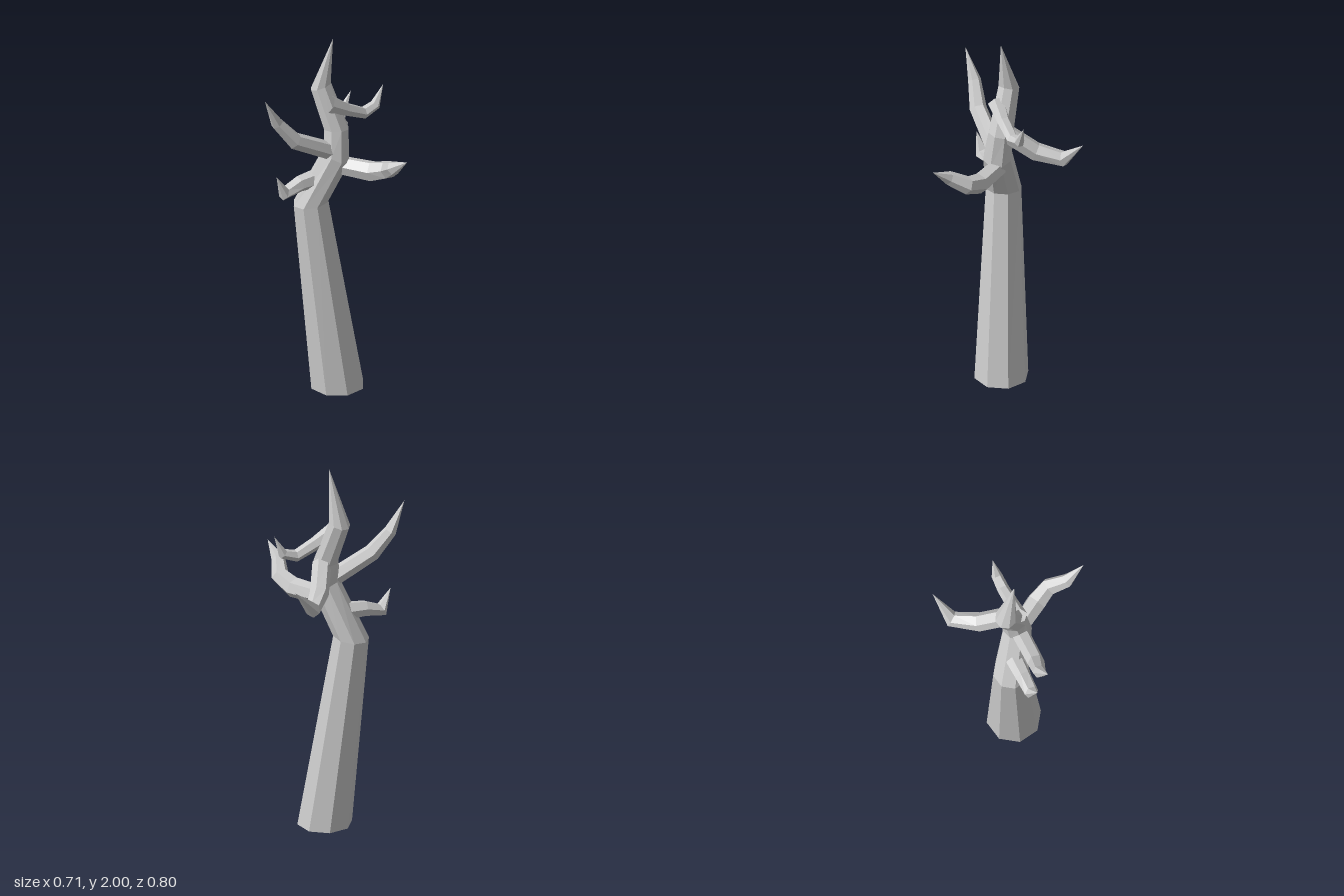
import * as THREE from 'three';

const material = new THREE.MeshStandardMaterial({
  color: 0xcccccc, flatShading: true, side: THREE.DoubleSide,
});

// Tapered limb: rings [x, y, z, radius] joined in loops, ending in a point.
// turn = how far each ring leans towards the next segment.
function limb(name, stations, sides, turn) {
  const points = stations.map(([x, y, z]) => new THREE.Vector3(x, y, z));
  const tip = points.length - 1;
  const step = (i) => points[i + 1].clone().sub(points[i]).normalize();
  const up = new THREE.Vector3(0, 1, 0);
  const frame = new THREE.Quaternion();
  let previous = up;
  const positions = [];
  const index = [];

  for (let i = 0; i < tip; i++) {
    const next = step(i);
    const direction = i === 0
      ? (turn === 0 ? up.clone() : next)
      : step(i - 1).multiplyScalar(1 - turn).addScaledVector(next, turn).normalize();
    frame.premultiply(new THREE.Quaternion().setFromUnitVectors(previous, direction));
    previous = direction;
    for (let s = 0; s < sides; s++) {
      const a = (s / sides) * Math.PI * 2;
      const r = stations[i][3];
      const v = new THREE.Vector3(Math.sin(a) * r, 0, Math.cos(a) * r);
      positions.push(...v.applyQuaternion(frame).add(points[i]).toArray());
    }
  }
  positions.push(...points[tip].toArray());

  const apex = tip * sides;
  for (let i = 0; i < tip; i++) {
    for (let s = 0; s < sides; s++) {
      const a = i * sides + s;
      const b = i * sides + (s + 1) % sides;
      if (i === tip - 1) index.push(a, b, apex);
      else index.push(a, b, b + sides, a, b + sides, a + sides);
    }
  }

  const indexed = new THREE.BufferGeometry();
  indexed.setAttribute('position', new THREE.Float32BufferAttribute(positions, 3));
  indexed.setIndex(index);
  const geometry = indexed.toNonIndexed();
  geometry.computeVertexNormals();
  const mesh = new THREE.Mesh(geometry, material);
  mesh.name = name;
  return mesh;
}

export function createModel() {
  const tree = new THREE.Group();
  tree.name = 'deadTree';

  // Crooked trunk, open at the foot, ending in a spike
  tree.add(limb('trunk', [
    [0.08, 0, -0.022, 0.144],
    [-0.05, 1.06, -0.067, 0.095],
    [0.07, 1.335, -0.005, 0.078],
    [0.075, 1.48, -0.022, 0.068],
    [0.012, 1.71, -0.08, 0.058],
    [0.058, 2, -0.025],
  ], 8, 0));

  // Branches, rooted inside the trunk
  const branches = {
    upperRightBranch: [
      [0.05, 1.36, 0, 0.048], [-0.18, 1.48, 0.035, 0.045],
      [-0.275, 1.595, 0.03, 0.034], [-0.355, 1.75, 0.058],
    ],
    lowerRightBranch: [
      [-0.02, 1.2, -0.05, 0.05], [-0.13, 1.195, -0.025, 0.043],
      [-0.225, 1.17, 0, 0.038], [-0.275, 1.28, 0.02],
    ],
    upperLeftBranch: [
      [0.03, 1.635, -0.01, 0.05], [0.13, 1.58, -0.02, 0.035],
      [0.235, 1.53, -0.042, 0.032], [0.307, 1.555, -0.06, 0.028],
      [0.355, 1.66, -0.07],
    ],
    frontBranch: [
      [0.09, 1.275, 0, 0.05], [0.215, 1.275, 0.13, 0.055],
      [0.27, 1.31, 0.21, 0.048], [0.262, 1.365, 0.305, 0.037],
      [0.3, 1.435, 0.4],
    ],
    backBranch: [
      [0.1, 1.48, -0.05, 0.05], [0.14, 1.375, -0.19, 0.05],
      [0.2, 1.345, -0.325, 0.042], [0.308, 1.48, -0.4],
    ],
  };
  for (const [name, stations] of Object.entries(branches)) {
    tree.add(limb(name, stations, 6, 0.5));
  }
  return tree;
}
